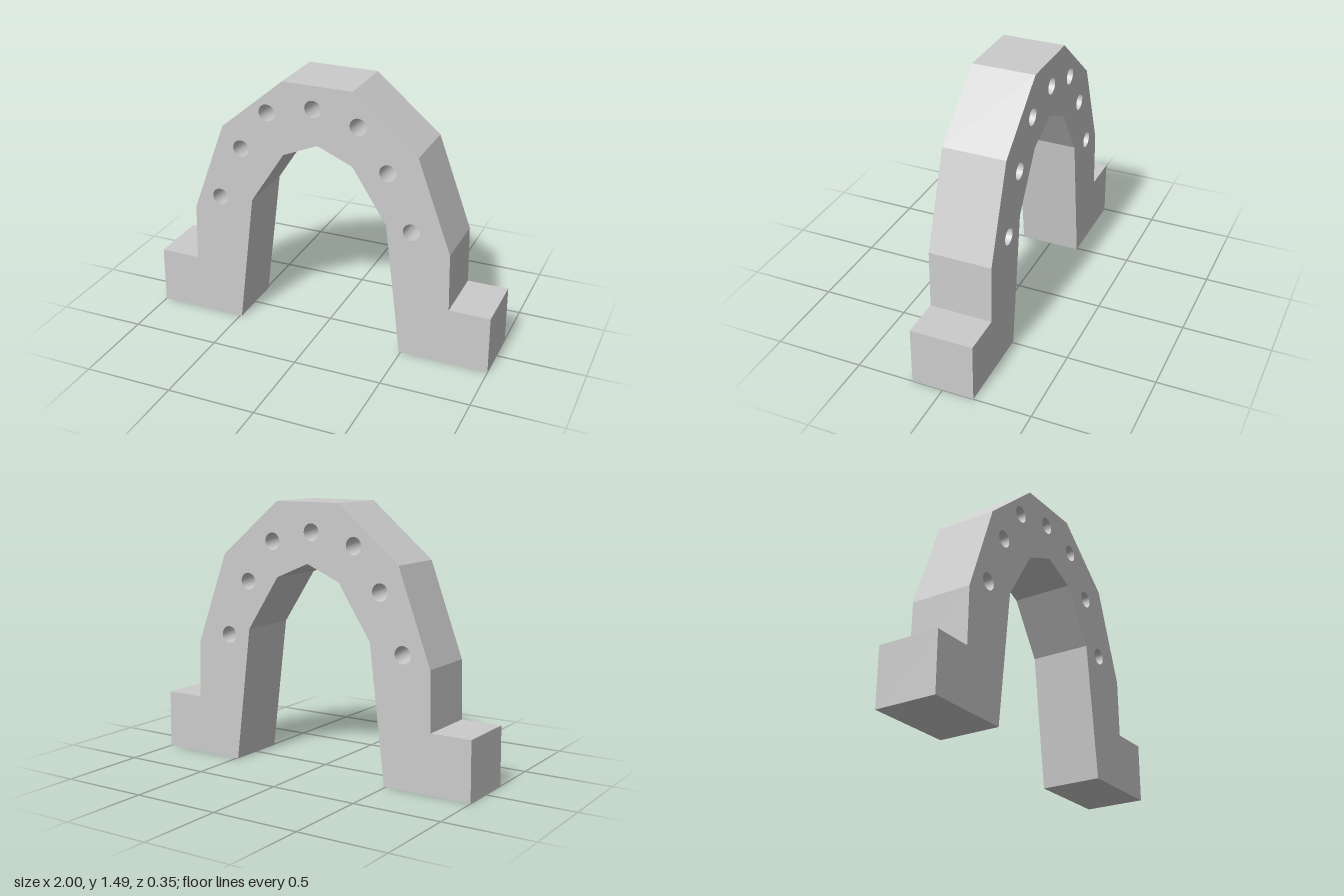
import * as THREE from 'three';
import { mergeGeometries, toCreasedNormals } from 'three/addons/utils/BufferGeometryUtils.js';

const HALF_DEPTH = 0.177;
const HOLE_RADIUS = 0.048;
const HOLE_DROP = 0.031; // holes slope slightly down towards the back

// Arch silhouette, counter-clockwise from the foot at -x
const OUTLINE = [
  [-1, 0], [-0.49, 0], [-0.397, 0.77], [-0.2, 1.075], [0, 1.16], [0.2, 1.075], [0.397, 0.77], [0.49, 0],
  [1, 0], [0.997, 0.333], [0.765, 0.333], [0.757, 0.663], [0.565, 1.185], [0.2, 1.492],
  [-0.2, 1.492], [-0.565, 1.185], [-0.757, 0.663], [-0.765, 0.333], [-0.997, 0.333],
].map(([x, y]) => new THREE.Vector2(x, y));

// Hole centres on the front face
const HOLES = [
  [-0.595, 0.755], [-0.455, 1.07], [-0.293, 1.302], [-0.025, 1.362], [0.232, 1.302], [0.4, 1.07], [0.54, 0.755],
];

// Clockwise ring of points around a hole centre
function ring([cx, cy], drop) {
  const n = 32;
  return Array.from({ length: n }, (_, i) => {
    const a = (-i / n) * Math.PI * 2;
    return new THREE.Vector2(cx + HOLE_RADIUS * Math.cos(a), cy - drop + HOLE_RADIUS * Math.sin(a));
  });
}

// Wall between a closed front loop and the matching back loop
function wall(front, back) {
  const pos = [];
  const put = (p, z) => pos.push(p.x, p.y, z);
  front.forEach((a, i) => {
    const j = (i + 1) % front.length;
    put(a, HALF_DEPTH); put(back[i], -HALF_DEPTH); put(back[j], -HALF_DEPTH);
    put(a, HALF_DEPTH); put(back[j], -HALF_DEPTH); put(front[j], HALF_DEPTH);
  });
  const geo = new THREE.BufferGeometry();
  geo.setAttribute('position', new THREE.Float32BufferAttribute(pos, 3));
  geo.computeVertexNormals();
  return toCreasedNormals(geo, 0.3);
}

// Flat pierced face; the back one is turned to face -z
function face(drop, isBack) {
  const flip = isBack ? -1 : 1;
  const mirror = (pts) => pts.map((p) => new THREE.Vector2(p.x * flip, p.y));
  const shape = new THREE.Shape(mirror(OUTLINE));
  shape.holes = HOLES.map((c) => new THREE.Path(mirror(ring(c, drop))));
  const geo = new THREE.ShapeGeometry(shape).toNonIndexed();
  geo.deleteAttribute('uv');
  geo.translate(0, 0, HALF_DEPTH);
  if (isBack) geo.rotateY(Math.PI);
  return geo;
}

export function createModel() {
  const group = new THREE.Group();
  group.name = 'archBracket';
  const material = new THREE.MeshStandardMaterial({ color: 0xcccccc });
  const add = (name, geo) => {
    const mesh = new THREE.Mesh(geo, material);
    mesh.name = name;
    group.add(mesh);
  };

  // Arch body with two stepped feet
  add('archBody', mergeGeometries([face(0, false), face(HOLE_DROP, true), wall(OUTLINE, OUTLINE)]));

  // Sloping bores through the arch
  HOLES.forEach((c, i) => add(`holeWall${i + 1}`, wall(ring(c, 0), ring(c, HOLE_DROP))));

  return group;
}
